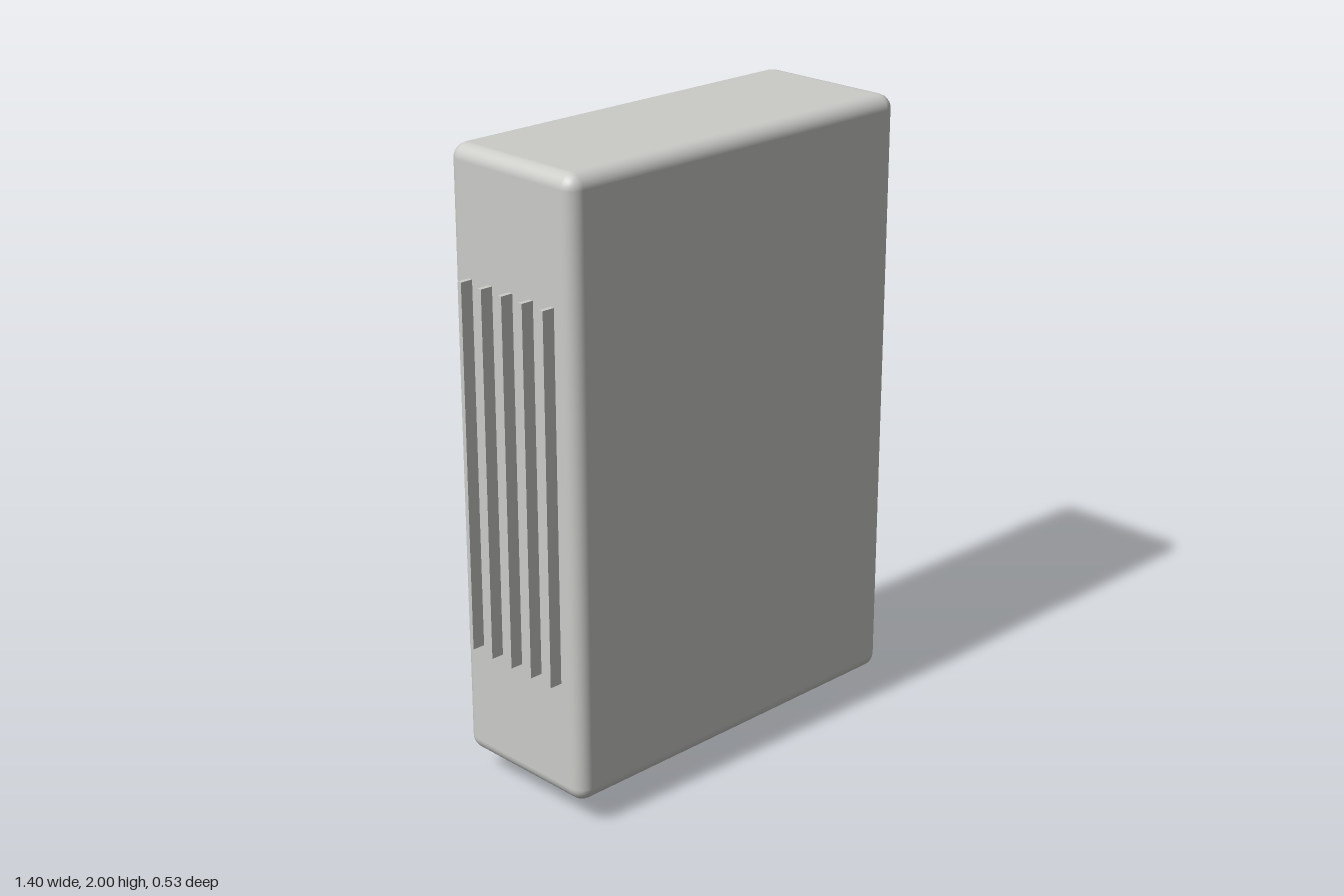
import * as THREE from 'three';
import { RoundedBoxGeometry } from 'three/addons/geometries/RoundedBoxGeometry.js';

const mat = (name, color) => {
  const m = new THREE.MeshStandardMaterial({ color });
  m.name = name;
  return m;
};

export function createModel() {
  const casing = mat('casing grey', 0xcbcbc8);
  const green = mat('accent green', 0x4b9a7c);
  const black = mat('black', 0x242424);
  const red = mat('red', 0xcc3636);

  const model = new THREE.Group();
  model.name = 'wallCabinet';
  const midZ = 0.005;

  const add = (name, geometry, material, x, y, z) => {
    const mesh = new THREE.Mesh(geometry, material);
    mesh.name = name;
    mesh.position.set(x, y, z);
    model.add(mesh);
    return mesh;
  };

  // Main casing with rounded edges
  add('casing', new RoundedBoxGeometry(1.32, 1.92, 0.52, 3, 0.045), casing, 0, 1.04, midZ);

  // Accent strip and display on the back panel
  add('accentStrip', new THREE.BoxGeometry(1.194, 0.054, 0.009), green, 0, 1.773, -0.2555);
  add('display', new THREE.BoxGeometry(0.46, 0.228, 0.0095), black, 0, 1.424, -0.2597);

  // Cooling fins on both sides
  const finGeometry = new THREE.BoxGeometry(0.06, 1.155, 0.015);
  for (const side of [-1, 1]) {
    for (let i = -2; i <= 2; i++) {
      add(side > 0 ? 'leftFin' : 'rightFin', finGeometry, casing,
        side * 0.671, 1.038, midZ + i * 0.087);
    }
  }

  // Plugs under the casing: name, x, radius, bottom height, material
  const plugs = [
    ['powerTerminal', -0.465, 0.027, 0, red],
    ['powerTerminal', -0.325, 0.027, 0, black],
    ['powerTerminal', -0.185, 0.027, 0, red],
    ['powerTerminal', -0.044, 0.027, 0, black],
    ['cableGland', 0.177, 0.025, 0.021, casing],
    ['cableGland', 0.338, 0.023, 0.021, casing],
    ['largeCableGland', 0.42, 0.035, 0.011, casing],
    ['smallCableGland', 0.538, 0.02, 0.036, casing],
  ];
  for (const [name, x, r, bottom, material] of plugs) {
    const h = 0.1 - bottom;
    add(name, new THREE.CylinderGeometry(r, r, h, 16), material, x, bottom + h / 2, midZ);
  }

  return model;
}
